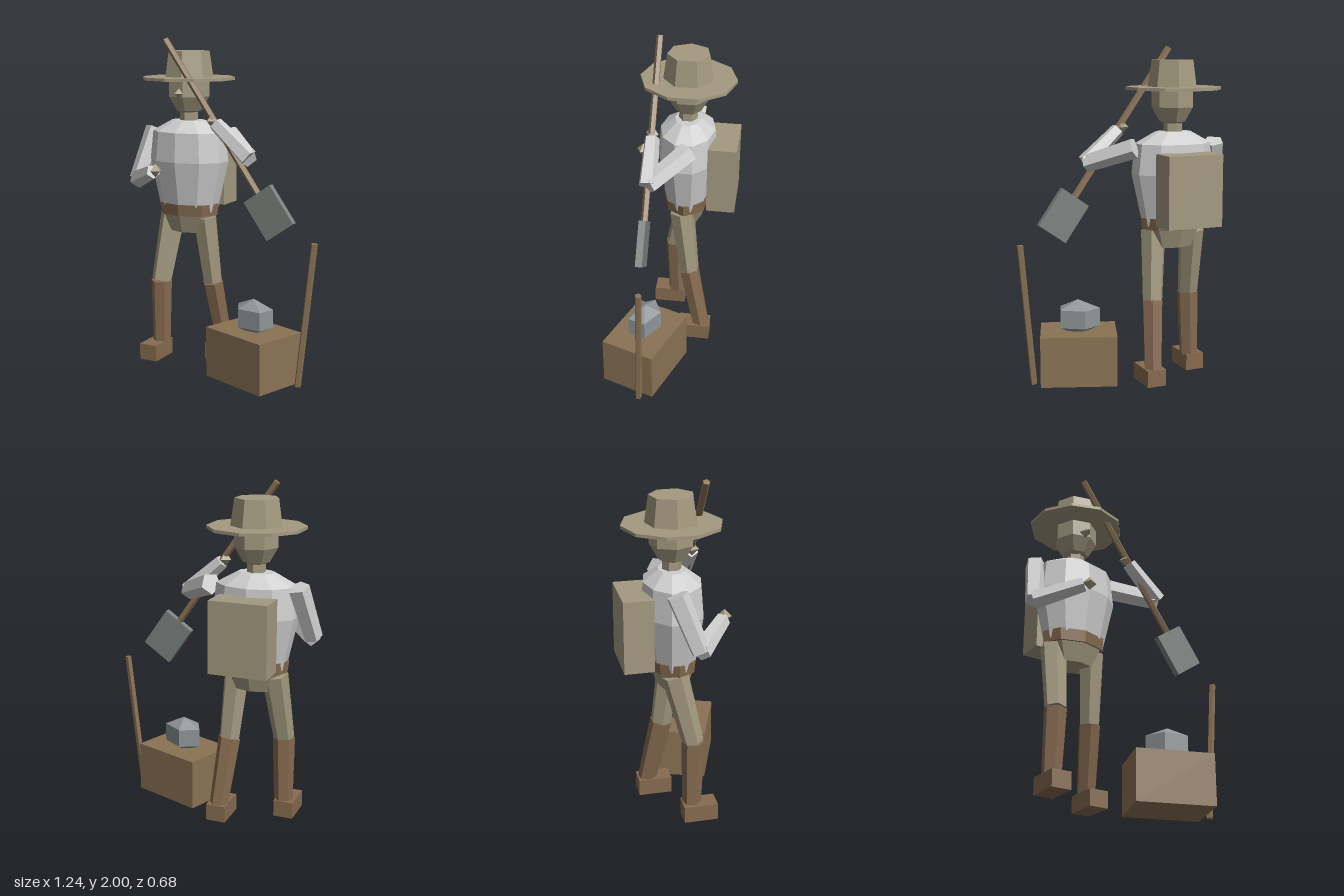
import * as THREE from 'three';

const TURN = 0.35; // the figure faces slightly to its left

function paint(name, color) {
  const m = new THREE.MeshStandardMaterial({ color });
  m.name = name;
  m.flatShading = true;
  return m;
}

export function createModel() {
  const khaki = paint('khaki', 0xa39a80);
  const wood = paint('wood brown', 0x8b7355);
  const leather = paint('boot brown', 0x866b50);
  const cloth = paint('pale shirt', 0xcfcfd0);
  const stone = paint('stone grey', 0x8f9698);
  const iron = paint('iron grey', 0x7c8380);

  const model = new THREE.Group();
  model.name = 'worker';

  function add(parent, name, geometry, material, x = 0, y = 0, z = 0) {
    const mesh = new THREE.Mesh(geometry, material);
    mesh.name = name;
    mesh.position.set(x, y, z);
    parent.add(mesh);
    return mesh;
  }

  // Tapered prism between two points
  function limb(name, a, b, ra, rb, sides, material) {
    const from = new THREE.Vector3(...a), to = new THREE.Vector3(...b);
    const dir = to.clone().sub(from);
    const mesh = add(model, name, new THREE.CylinderGeometry(rb, ra, dir.length(), sides), material);
    mesh.position.copy(from).add(to).multiplyScalar(0.5);
    mesh.quaternion.setFromUnitVectors(new THREE.Vector3(0, 1, 0), dir.normalize());
    return mesh;
  }

  // Trunk and head share the turned body frame
  const body = new THREE.Group();
  body.name = 'body';
  body.position.set(-0.305, 0, 0.01);
  body.rotation.y = TURN;
  model.add(body);

  const shirtProfile = [[0, 0.95], [0.185, 0.95], [0.255, 1.26], [0.235, 1.437], [0.11, 1.505], [0, 1.505]]
    .map(([r, y]) => new THREE.Vector2(r, y));
  add(body, 'shirt', new THREE.LatheGeometry(shirtProfile, 10), cloth).scale.z = 0.7;
  add(body, 'belt', new THREE.CylinderGeometry(0.205, 0.195, 0.07, 8), leather, 0, 0.965, 0).scale.z = 0.7;
  add(body, 'hips', new THREE.CylinderGeometry(0.19, 0.13, 0.13, 8), khaki, 0, 0.885, 0).scale.z = 0.7;
  add(body, 'neck', new THREE.CylinderGeometry(0.055, 0.055, 0.12, 6), khaki, 0, 1.54, 0);
  add(body, 'head', new THREE.SphereGeometry(0.133, 7, 5), khaki, 0, 1.7, 0).scale.y = 1.27;
  const nose = add(body, 'nose', new THREE.ConeGeometry(0.036, 0.06, 4), khaki, 0, 1.67, 0.14);
  nose.rotation.x = Math.PI / 2;
  add(body, 'hatBrim', new THREE.CylinderGeometry(0.283, 0.283, 0.018, 10), khaki, 0, 1.757, 0);
  add(body, 'hatCrown',
    new THREE.CylinderGeometry(0.127, 0.15, 0.16, 7, 1, false, -Math.PI / 2), khaki, 0, 1.84, 0);
  add(body, 'backpack', new THREE.BoxGeometry(0.343, 0.42, 0.17), khaki, 0, 1.18, -0.22);

  // Legs: hip, knee, ankle, foot centre
  const legs = [
    ['right', [-0.425, 0.92, 0.04], [-0.42, 0.5, 0.145], [-0.43, 0.1, 0.14], [-0.43, 0.185]],
    ['left', [-0.19, 0.92, -0.015], [-0.183, 0.5, -0.075], [-0.18, 0.1, -0.165], [-0.165, -0.125]],
  ];
  for (const [side, hip, knee, ankle, foot] of legs) {
    limb(side + 'Thigh', hip, knee, 0.078, 0.062, 6, khaki);
    limb(side + 'Shin', knee, ankle, 0.066, 0.056, 6, leather);
    add(model, side + 'Boot', new THREE.BoxGeometry(0.118, 0.1, 0.2), leather, foot[0], 0.06, foot[1])
      .rotation.y = TURN;
  }

  // Arms: shoulder, elbow, wrist, hand
  const arms = [
    ['right', [-0.555, 1.44, 0.07], [-0.572, 1.13, 0.2], [-0.3, 1.215, 0.295], [-0.27, 1.225, 0.3]],
    ['left', [-0.07, 1.42, -0.11], [0.21, 1.32, 0.0], [0.015, 1.51, 0.08], [-0.005, 1.525, 0.087]],
  ];
  for (const [side, shoulder, elbow, wrist, hand] of arms) {
    limb(side + 'UpperArm', shoulder, elbow, 0.064, 0.056, 5, cloth);
    limb(side + 'Forearm', elbow, wrist, 0.058, 0.044, 5, cloth);
    add(model, side + 'Hand', new THREE.OctahedronGeometry(0.042), khaki, ...hand);
  }

  // Shovel carried across the left hand
  const shovel = new THREE.Group();
  shovel.name = 'shovel';
  shovel.position.set(0.346, 1.015, -0.04);
  shovel.rotation.set(0, TURN, 0.612, 'YXZ');
  model.add(shovel);
  add(shovel, 'shovelBlade', new THREE.BoxGeometry(0.2, 0.26, 0.04), iron);
  add(shovel, 'shovelShaft', new THREE.CylinderGeometry(0.021, 0.021, 1.08, 5), wood, 0, 0.65, 0);

  // Crate with a rock on it, and a pole standing beside
  add(model, 'crate', new THREE.BoxGeometry(0.457, 0.305, 0.34), wood, 0.26, 0.1525, 0);
  add(model, 'rock', new THREE.SphereGeometry(1, 5, 3), stone, 0.262, 0.385, 0).scale.set(0.152, 0.11, 0.107);
  limb('pole', [0.53, 0.003, -0.1], [0.598, 0.858, -0.15], 0.02, 0.02, 5, wood);

  return model;
}
